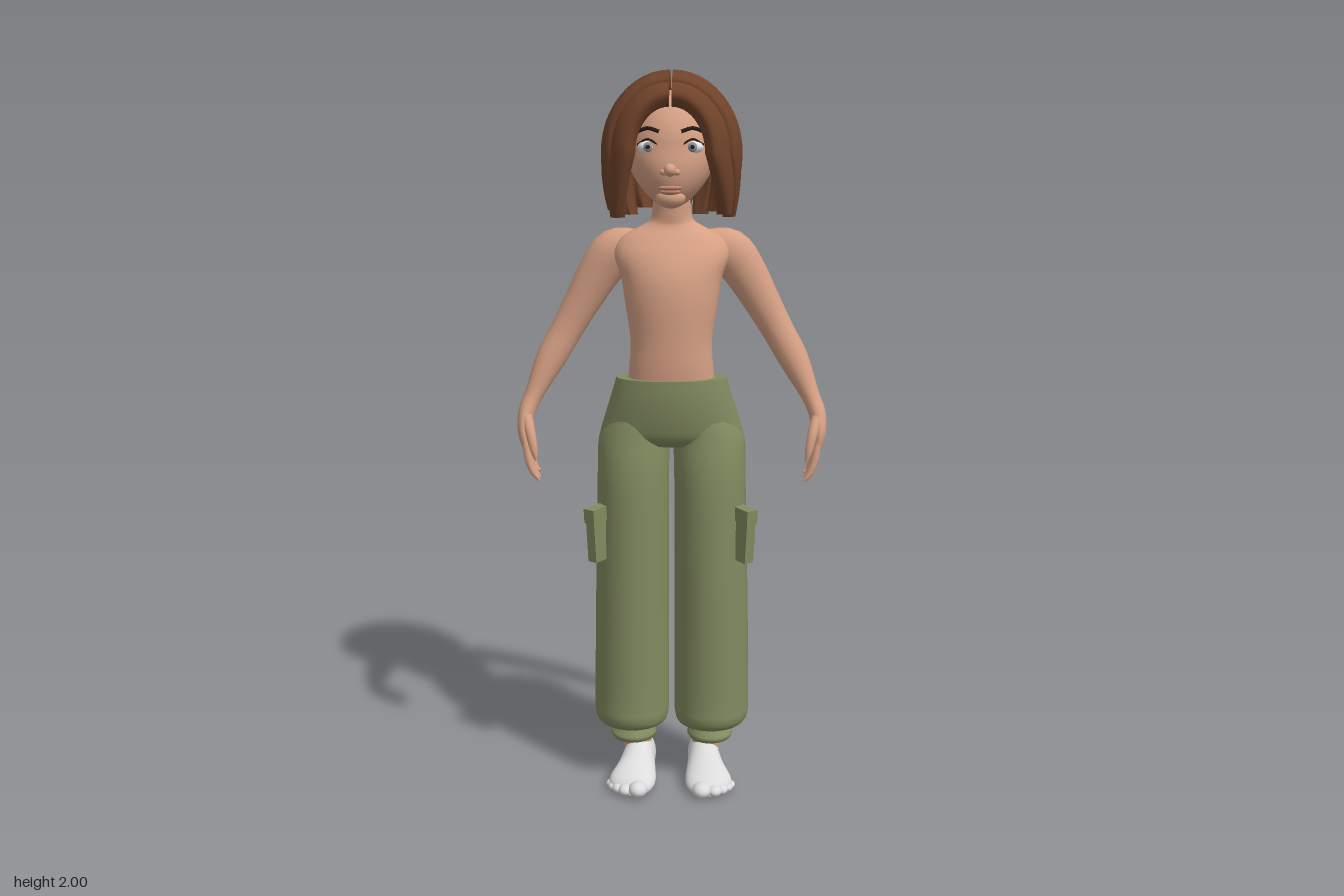
import * as THREE from 'three';

const mat = (name, color) => Object.assign(new THREE.MeshStandardMaterial({ color }), { name });
const V = (x, y, z) => new THREE.Vector3(x, y, z);
const lerp = THREE.MathUtils.lerp;
const rad = THREE.MathUtils.degToRad;

// Smooth in-between rows for a short table of cross-section values
function smooth(keys, steps = 4) {
  const out = [];
  for (let i = 0; i < keys.length - 1; i++) {
    const a = keys[Math.max(i - 1, 0)], b = keys[i], c = keys[i + 1], d = keys[Math.min(i + 2, keys.length - 1)];
    for (let s = 0; s < steps; s++) {
      const t = s / steps;
      out.push(b.map((p, k) => p + 0.5 * t * (c[k] - a[k] + t * (2 * a[k] - 5 * p + 4 * c[k] - d[k]
        + t * (3 * (p - c[k]) + d[k] - a[k])))));
    }
  }
  out.push(keys[keys.length - 1]);
  return out;
}

// Closed skin over rings of points; the winding is fixed by the signed volume
function loft(rings) {
  const n = rings[0].length, pts = rings.flat(), idx = [];
  for (let r = 0; r < rings.length - 1; r++) {
    for (let i = 0; i < n; i++) {
      const a = r * n + i, b = r * n + (i + 1) % n;
      idx.push(a, b, a + n, b, b + n, a + n);
    }
  }
  [0, rings.length - 1].forEach((r) => {
    const mid = rings[r].reduce((m, p) => m.add(p), V(0, 0, 0)).divideScalar(n);
    const start = pts.length;
    pts.push(mid, ...rings[r]);
    for (let i = 0; i < n; i++) {
      const a = start + 1 + i, b = start + 1 + (i + 1) % n;
      if (r) idx.push(start, a, b); else idx.push(start, b, a);
    }
  });
  let volume = 0;
  const c = V(0, 0, 0);
  for (let i = 0; i < idx.length; i += 3) {
    volume += pts[idx[i]].dot(c.crossVectors(pts[idx[i + 1]], pts[idx[i + 2]]));
  }
  if (volume < 0) idx.reverse();
  const g = new THREE.BufferGeometry().setFromPoints(pts);
  g.setIndex(idx);
  g.computeVertexNormals();
  return g;
}

const angles = (n) => Array.from({ length: n }, (_, i) => i / n * Math.PI * 2);

// Upright form from rows of [y, centre x, back z, front z, half width]
const upright = (keys, s = 1) => loft(smooth(keys).map(([y, cx, z0, z1, rx]) => angles(32).map((a) =>
  V(s * (cx + rx * Math.cos(a)), y, (z0 + z1) / 2 + (z1 - z0) / 2 * Math.sin(a)))));

// Limb from rows of [x, y, z, thickness, depth], its rings square to the path
function limb(keys, s, n = 18, steps = 4) {
  const rows = smooth(keys, steps);
  return loft(rows.map(([x, y, z, ru, rv], i) => {
    const p = rows[Math.max(i - 1, 0)], q = rows[Math.min(i + 1, rows.length - 1)];
    const t = V(q[0] - p[0], q[1] - p[1], q[2] - p[2]).normalize();
    const u = t.clone().cross(V(0, 0, 1)).normalize(), v = u.clone().cross(t);
    return angles(n).map((a) => {
      const w = V(x, y, z).addScaledVector(u, ru * Math.cos(a)).addScaledVector(v, rv * Math.sin(a));
      w.x *= s;
      return w;
    });
  }));
}

// Hair shell: f runs from front to back, t from the parting to the hem
function hairPoint(s, f, t, k, hem) {
  const u = Math.min(t / 0.6, 1) * Math.PI / 2, d = Math.max(0, (t - 0.6) / 0.4);
  const phi = rad(lerp(36, 180, f)) + rad(22) * d * (1 - f);
  const z0 = lerp(0.14, -0.15, f), top = 0.205 * Math.sqrt(1 - (z0 / 0.19) ** 2);
  const shrink = (1 - 0.1 * d * d) * k;
  return V(s * lerp(0.004, 0.18 * Math.sin(phi), Math.sin(u)) * shrink,
    d > 0 ? lerp(1.78, hem, d) : 1.78 + top * Math.cos(u) * k,
    lerp(z0, 0.183 * Math.cos(phi), Math.sin(u)) * shrink);
}

function hairLock(s, i, count) {
  const rings = [], hem = 1.612 + 0.018 * ((i * 2 + (s > 0 ? 1 : 0)) % 3) / 2;
  for (let r = 0; r <= 20; r++) {
    const t = r / 20, taper = 1 - 0.3 * Math.max(0, (t - 0.75) / 0.25) ** 2;
    const at = (v, k) => hairPoint(s, (i + 0.5 + (v - 0.5) * taper) / count, t, k, hem);
    const ring = [];
    for (let j = 0; j <= 8; j++) ring.push(at(j / 8, 1 + 0.065 * Math.sqrt(Math.sin(Math.PI * j / 8) + 1e-9)));
    for (let j = 4; j >= 0; j--) ring.push(at(j / 4, 0.86));
    rings.push(ring);
  }
  return loft(rings);
}

export function createModel() {
  const skin = mat('skin', 0xd6a084), hair = mat('hair', 0x70432a), cloth = mat('trouserCloth', 0x828b60);
  const white = mat('footWhite', 0xdcdcdc), eyeWhite = mat('eyeWhite', 0xeeeeee), iris = mat('iris', 0x8a929c);
  const dark = mat('dark', 0x2a1c16), lip = mat('lip', 0xc08570);
  const model = new THREE.Group();
  const add = (name, geo, m) => {
    const mesh = new THREE.Mesh(geo, m);
    mesh.name = name;
    model.add(mesh);
    return mesh;
  };
  const ball = (name, m, x, y, z, rx, ry, rz) => {
    const mesh = add(name, new THREE.SphereGeometry(1, 20, 14), m);
    mesh.position.set(x, y, z);
    mesh.scale.set(rx, ry, rz);
    return mesh;
  };

  // Head: a sphere narrowed at the jaw and drawn forward at the chin
  const headGeo = new THREE.SphereGeometry(1, 36, 28), p = headGeo.attributes.position;
  for (let i = 0; i < p.count; i++) {
    const y = p.getY(i), low = Math.max(0, -y);
    p.setXYZ(i, p.getX(i) * 0.125 * (1 - 0.3 * low ** 1.5), 1.79 + 0.155 * y, 0.14 * p.getZ(i) + 0.045 * low);
  }
  headGeo.computeVertexNormals();
  add('head', headGeo, skin);
  ball('chin', skin, 0, 1.665, 0.103, 0.04, 0.027, 0.032);
  ball('nose', skin, 0, 1.738, 0.143, 0.017, 0.017, 0.021);
  ball('upperLip', lip, 0, 1.692, 0.133, 0.032, 0.007, 0.011);
  ball('lowerLip', lip, 0, 1.682, 0.129, 0.027, 0.008, 0.013);

  // Torso and neck
  add('torso', upright([
    [1.12, 0, -0.07, 0.09, 0.125], [1.2, 0, -0.055, 0.1, 0.116], [1.28, 0, -0.065, 0.104, 0.112],
    [1.38, 0, -0.09, 0.108, 0.127], [1.45, 0, -0.1, 0.1, 0.138], [1.51, 0, -0.105, 0.075, 0.158],
    [1.555, 0, -0.1, 0.045, 0.14], [1.585, 0, -0.09, 0.025, 0.085], [1.61, 0, -0.08, 0.025, 0.056],
    [1.69, 0, -0.07, 0.035, 0.05]]), skin);

  // Trouser seat
  add('trouserSeat', upright([
    [1.175, 0, -0.08, 0.11, 0.152], [1.12, 0, -0.1, 0.109, 0.168], [1.06, 0, -0.115, 0.1, 0.187],
    [1.01, 0, -0.11, 0.085, 0.198], [0.985, 0, -0.09, 0.06, 0.17]]), cloth);

  for (const s of [1, -1]) {
    const side = s > 0 ? 'left' : 'right';

    // Face details
    ball(side + 'Eye', eyeWhite, s * 0.058, 1.797, 0.11, 0.028, 0.018, 0.022);
    ball(side + 'Iris', iris, s * 0.058, 1.797, 0.128, 0.012, 0.013, 0.006);
    ball(side + 'Pupil', dark, s * 0.058, 1.797, 0.132, 0.006, 0.006, 0.004);
    ball(side + 'Nostril', skin, s * 0.016, 1.733, 0.138, 0.012, 0.01, 0.014);
    const arc = (name, pts, r) => add(side + name, new THREE.TubeGeometry(
      new THREE.CatmullRomCurve3(pts.map(([x, y, z]) => V(s * x, y, z))), 12, r, 6), dark);
    arc('Eyebrow', [[0.028, 1.836, 0.13], [0.058, 1.845, 0.12], [0.088, 1.836, 0.1]], 0.005);
    arc('Eyelashes', [[0.032, 1.803, 0.131], [0.058, 1.817, 0.127], [0.086, 1.803, 0.108]], 0.003);

    // Hair locks falling from the centre parting
    for (let i = 0; i < 6; i++) add(side + 'HairLock', hairLock(s, i, 6), hair);

    // Arm and palm, then fingers and thumb
    add(side + 'Arm', limb([
      [0.09, 1.53, -0.055, 0.045, 0.045], [0.155, 1.515, -0.056, 0.062, 0.054], [0.2, 1.46, -0.06, 0.059, 0.051],
      [0.25, 1.375, -0.063, 0.05, 0.045], [0.295, 1.295, -0.062, 0.044, 0.042], [0.34, 1.215, -0.05, 0.041, 0.04],
      [0.385, 1.12, -0.028, 0.026, 0.03], [0.405, 1.07, -0.015, 0.024, 0.035], [0.41, 1.015, -0.005, 0.02, 0.046],
      [0.4, 0.965, 0, 0.014, 0.041]], s), skin);
    for (let i = 0; i < 4; i++) {
      const z = -0.031 + i * 0.021, end = [0.9, 0.885, 0.88, 0.89][i];
      add(side + 'Finger', limb([[0.404, 0.99, z, 0.011, 0.011], [0.397, 0.945, z + 0.004, 0.011, 0.011],
        [0.385, 0.91, z + 0.008, 0.009, 0.009], [0.37, end, z + 0.012, 0.004, 0.004]], s, 10, 3), skin);
    }
    add(side + 'Thumb', limb([[0.402, 1.06, 0.01, 0.015, 0.015], [0.39, 1.02, 0.038, 0.014, 0.014],
      [0.38, 0.975, 0.05, 0.011, 0.011], [0.374, 0.945, 0.053, 0.004, 0.004]], s, 10, 3), skin);

    // Trouser leg gathered at the hem, with a loose cuff below
    add(side + 'TrouserLeg', upright([
      [1.13, 0.08, -0.09, 0.06, 0.06], [1.06, 0.093, -0.128, 0.078, 0.088], [1, 0.104, -0.128, 0.088, 0.1],
      [0.92, 0.107, -0.106, 0.1, 0.1], [0.8, 0.109, -0.116, 0.103, 0.101], [0.5, 0.113, -0.139, 0.096, 0.105],
      [0.25, 0.115, -0.137, 0.09, 0.107], [0.19, 0.115, -0.13, 0.09, 0.106], [0.162, 0.113, -0.112, 0.076, 0.094],
      [0.15, 0.111, -0.09, 0.05, 0.065]], s), cloth);
    add(side + 'Cuff', upright([[0.148, 0.108, -0.085, 0.025, 0.048], [0.132, 0.109, -0.097, 0.035, 0.058],
      [0.118, 0.111, -0.108, 0.042, 0.066], [0.106, 0.111, -0.1, 0.036, 0.06]], s), cloth);
    add(side + 'Ankle', upright([[0.19, 0.11, -0.075, 0.025, 0.045], [0.08, 0.1, -0.075, 0.02, 0.042]], s), skin);

    // Cargo pocket with a flap
    const pocket = new THREE.Group();
    pocket.name = side + 'Pocket';
    const box = (name, w, h, d, y) => {
      const mesh = new THREE.Mesh(new THREE.BoxGeometry(w, h, d), cloth);
      mesh.name = name;
      mesh.position.y = y;
      pocket.add(mesh);
    };
    box('pocketBag', 0.06, 0.145, 0.03, -0.003);
    box('pocketFlap', 0.066, 0.04, 0.037, 0.057);
    pocket.position.set(s * 0.202, 0.742, 0.074);
    pocket.rotation.set(0, -s * 0.9, s * -0.07);
    model.add(pocket);

    // Foot from rows of [z, centre x, half width, height], flat underneath
    add(side + 'Foot', loft(smooth([
      [-0.092, 0.09, 0.018, 0.05], [-0.08, 0.09, 0.036, 0.085], [-0.045, 0.092, 0.045, 0.112],
      [0, 0.095, 0.046, 0.11], [0.05, 0.1, 0.055, 0.085], [0.1, 0.108, 0.066, 0.06],
      [0.135, 0.107, 0.058, 0.045], [0.16, 0.098, 0.03, 0.03]]).map(([z, cx, w, h]) => angles(24).map((a) =>
      V(s * (cx + w * Math.cos(a)), Math.max(0, h * (0.4 + 0.6 * Math.sin(a))), z)))), white);
    [[0.09, 0.163, 0.027], [0.126, 0.155, 0.02], [0.146, 0.14, 0.018], [0.161, 0.122, 0.016], [0.17, 0.102, 0.014]]
      .forEach(([x, z, r]) => ball(side + 'Toe', white, s * x, r * 0.8, z, r, r * 0.8, r * 1.2));
  }
  return model;
}
